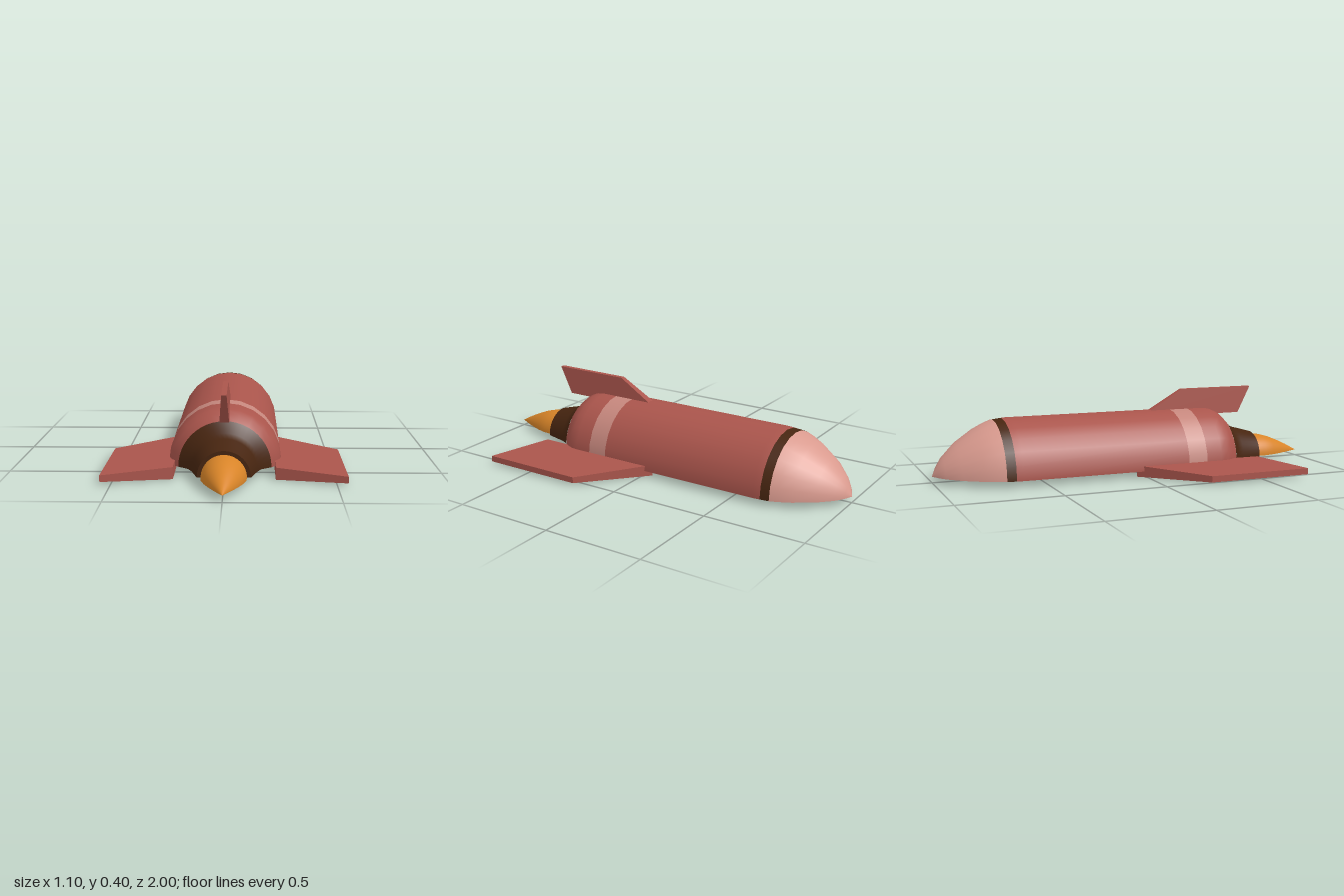
import * as THREE from 'three';

const BASE = 0.03; // height of the flat underside
const mat = (name, color) => Object.assign(new THREE.MeshStandardMaterial({ color }), { name });

export function createModel() {
  const red = mat('hull red', 0xaa554c);
  const pink = mat('nose pink', 0xd99a8e);
  const pale = mat('stripe pink', 0xc6877d);
  const brown = mat('dark brown', 0x472510);
  const orange = mat('flame orange', 0xd88428);
  const model = new THREE.Group();
  model.name = 'halfRocket';

  const add = (name, geometry, material) => {
    const mesh = new THREE.Mesh(geometry, material);
    mesh.name = name;
    model.add(mesh);
  };
  const vec = (pts) => pts.map(([a, b]) => new THREE.Vector2(a, b));

  // Upper half of a turned part; profile is [radius, z] from nose to tail
  const halfLathe = (name, profile, material, segments = 12) => {
    const g = new THREE.LatheGeometry(vec(profile), segments, Math.PI / 2, Math.PI);
    g.rotateX(Math.PI / 2).translate(0, BASE, 0);
    add(name, g, material);
  };
  // Flat underside closing a turned part
  const underside = (name, profile, material) => {
    const left = profile.map(([r, z]) => [-r, z]).reverse();
    const g = new THREE.ShapeGeometry(new THREE.Shape(vec([...profile, ...left])));
    g.rotateX(Math.PI / 2).translate(0, BASE, 0);
    add(name, g, material);
  };

  const nose = [[0, -1], [0.045, -0.98], [0.09, -0.95], [0.155, -0.885], [0.215, -0.795], [0.242, -0.74], [0.257, -0.7]];
  const band = [[0.257, -0.7], [0.262, -0.655]];
  const hull = [[0.262, -0.655], [0.265, -0.62], [0.265, 0.23]];
  const stripe = [[0.265, 0.23], [0.265, 0.33]];
  const shoulder = [[0.265, 0.33], [0.265, 0.41], [0.26, 0.45], [0.245, 0.485], [0.215, 0.52]];
  const skirt = [[0.215, 0.52], [0.168, 0.56], [0.15, 0.6], [0.12, 0.71]];
  const flame = [[0.103, 0.7], [0.1, 0.765], [0.085, 0.82], [0.063, 0.875], [0.035, 0.935], [0, 1]];

  halfLathe('noseCone', nose, pink);
  halfLathe('noseBand', band, brown);
  halfLathe('hull', hull, red);
  halfLathe('hullStripe', stripe, pale);
  halfLathe('hullShoulder', shoulder, red);
  halfLathe('engineSkirt', skirt, brown, 24);
  halfLathe('engineEnd', [[0.12, 0.71], [0, 0.71]], brown, 24);
  halfLathe('flame', flame, orange, 24);
  underside('hullUnderside', [...nose, ...band, ...hull, ...stripe, ...shoulder, ...skirt], brown);
  underside('flameUnderside', [[0.103, 0.71], ...flame.slice(1)], orange);

  // Slab with flat faces whose half thickness follows a rule
  const slab = (outline, half) => {
    const g = new THREE.ExtrudeGeometry(new THREE.Shape(vec(outline)), { depth: 2, bevelEnabled: false });
    g.translate(0, 0, -1);
    const p = g.attributes.position;
    for (let i = 0; i < p.count; i++) p.setZ(i, p.getZ(i) * half(p.getX(i), p.getY(i)));
    g.computeVertexNormals();
    return g;
  };
  const { lerp, inverseLerp } = THREE.MathUtils;

  // Swept side wings, thinner towards the tip
  for (const side of [1, -1]) {
    const outline = [[0.232, -0.04], [0.548, 0.21], [0.548, 0.735], [0.232, 0.63]].map(([x, z]) => [side * x, z]);
    const g = slab(outline, (x) => lerp(0.028, 0.015, inverseLerp(0.232, 0.548, Math.abs(x))));
    add(side > 0 ? 'leftWing' : 'rightWing', g.rotateX(Math.PI / 2).translate(0, 0.028, 0), red);
  }

  // Upright tail fin, thinner towards the top
  const fin = slab([[0.07, 0.26], [0.625, 0.26], [0.7, 0.395], [0.3, 0.395]],
    (z, y) => lerp(0.022, 0.012, inverseLerp(0.26, 0.395, y)));
  add('tailFin', fin.rotateY(-Math.PI / 2), red);

  return model;
}
